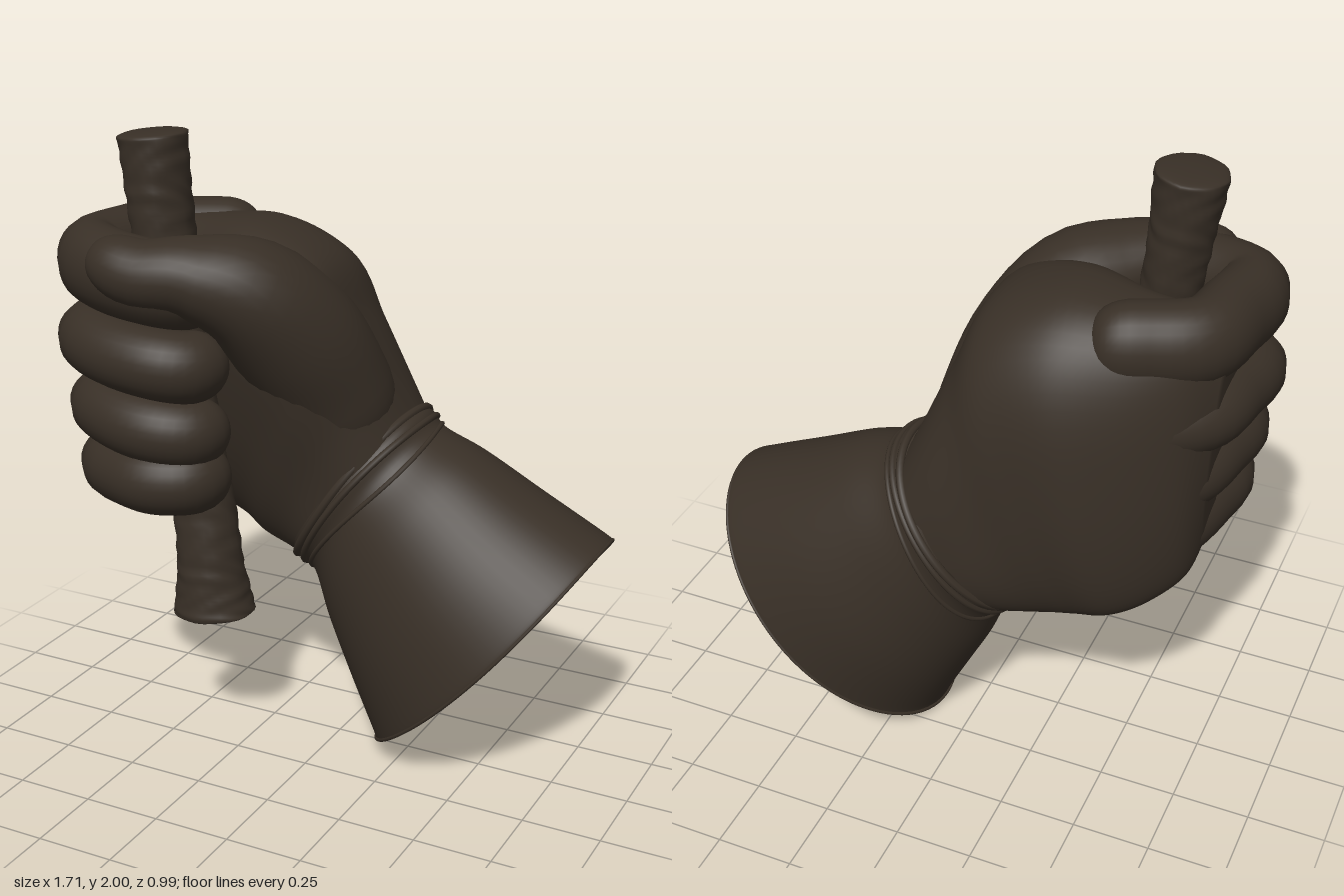
import * as THREE from 'three';

const leather = new THREE.MeshStandardMaterial({ color: 0x382f26, side: THREE.DoubleSide });
leather.name = 'dark brown';

// Smooth interpolation of a list of number rows at u in 0..1
function sample(rows, u) {
  const f = u * (rows.length - 1), i = Math.min(Math.floor(f), rows.length - 2), t = f - i;
  const p = rows[Math.max(i - 1, 0)], a = rows[i], b = rows[i + 1], q = rows[Math.min(i + 2, rows.length - 1)];
  return a.map((v, k) => {
    const m0 = (b[k] - p[k]) / 2, m1 = (q[k] - v) / 2, d = b[k] - v;
    return v + t * (m0 + t * (3 * d - 2 * m0 - m1 + t * (m0 + m1 - 2 * d)));
  });
}

// Skin of rings: point(u, angle) gives each corner
function skin(name, rings, sides, point) {
  const pos = [], index = [];
  for (let i = 0; i <= rings; i++)
    for (let j = 0; j < sides; j++) pos.push(...point(i / rings, (j / sides) * Math.PI * 2).toArray());
  for (let i = 0; i < rings; i++)
    for (let j = 0; j < sides; j++) {
      const a = i * sides + j, b = i * sides + (j + 1) % sides;
      index.push(a, b, a + sides, b, b + sides, a + sides);
    }
  const g = new THREE.BufferGeometry();
  g.setAttribute('position', new THREE.Float32BufferAttribute(pos, 3));
  g.setIndex(index);
  g.computeVertexNormals();
  const mesh = new THREE.Mesh(g, leather);
  mesh.name = name;
  return mesh;
}

// Round-ended limb along rows of [x, y, z, sideRadius, upRadius]
function limb(name, rows, up, { end = 0.12, lump = 0, rings = 40, sides = 28 } = {}) {
  const upV = new THREE.Vector3(...up);
  const at = u => new THREE.Vector3(...sample(rows, u).slice(0, 3));
  return skin(name, rings, sides, (v, a) => {
    const u = (1 - Math.cos(v * Math.PI)) / 2;
    const T = at(Math.min(u + 0.01, 1)).sub(at(Math.max(u - 0.01, 0))).normalize();
    const S = upV.clone().cross(T).normalize(), U = T.clone().cross(S);
    const r = sample(rows, u), e = Math.min(u, 1 - u) / end;
    const round = e < 1 ? Math.sqrt(Math.max(0, 1 - (1 - e) ** 2)) : 1;
    const bump = lump * Math.sin(u * 70 + Math.sin(2 * a) * 2) * Math.sin(4 * a + Math.sin(u * 45) * 2);
    return at(u).addScaledVector(S, (r[3] + bump) * round * Math.cos(a))
      .addScaledVector(U, (r[4] + bump) * round * Math.sin(a));
  });
}

// Cross-section from rows of [upperX, upperY, lowerX, lowerY, backZ, frontZ, frontLean, bow]
function section(rows, u, a, power, grow = 1) {
  const [ax, ay, bx, by, z0, z1, lean, bow] = sample(rows, u);
  const c = Math.cos(a), s = Math.sin(a);
  const t = Math.sign(c) * Math.abs(c) ** power * grow, w = Math.sign(s) * Math.abs(s) ** power * grow;
  return new THREE.Vector3(
    (ax + bx) / 2 + (ax - bx) / 2 * t + 0.73 * bow * w * w,
    (ay + by) / 2 + (ay - by) / 2 * t - 0.68 * bow * w * w,
    (z0 + z1) / 2 + (z1 - z0) / 2 * w + lean * t * (0.5 + 0.5 * w));
}

const HAND = [
  [-0.76, 1.60, -0.73, 0.92, -0.12, 0.05, 0.02, 0],
  [-0.66, 1.67, -0.70, 0.80, -0.22, 0.06, 0.05, 0],
  [-0.48, 1.69, -0.61, 0.72, -0.32, 0.08, 0.10, 0],
  [-0.26, 1.70, -0.51, 0.67, -0.39, 0.14, 0.16, 0],
  [-0.04, 1.61, -0.41, 0.64, -0.40, 0.19, 0.18, 0],
  [0.05, 1.42, -0.32, 0.61, -0.40, 0.18, 0.12, 0],
  [0.13, 1.22, -0.22, 0.59, -0.41, 0.14, 0.05, 0],
  [0.20, 1.06, -0.14, 0.58, -0.41, 0.12, 0, 0],
];
const CUFF = [
  [0.18, 1.11, -0.20, 0.59, -0.42, 0.13, 0, 0],
  [0.22, 1.10, -0.17, 0.56, -0.425, 0.14, 0, 0],
  [0.27, 1.05, -0.12, 0.52, -0.42, 0.13, 0, 0],
  [0.41, 1.00, -0.06, 0.37, -0.44, 0.175, 0, 0.01],
  [0.61, 0.90, 0.03, 0.19, -0.475, 0.235, 0, 0.03],
  [0.82, 0.80, 0.11, 0.03, -0.49, 0.275, 0, 0.045],
  [0.85, 0.78, 0.12, 0.0, -0.49, 0.275, 0, 0.045],
];

// Closed seam or fold that follows a cuff section
function seam(name, u, radius, wobble) {
  const pts = [];
  for (let i = 0; i < 40; i++) {
    const a = (i / 40) * Math.PI * 2;
    pts.push(section(CUFF, u + wobble * Math.sin(2 * a + u * 40), a, 1));
  }
  const path = new THREE.CatmullRomCurve3(pts, true);
  const mesh = new THREE.Mesh(new THREE.TubeGeometry(path, 100, radius, 8, true), leather);
  mesh.name = name;
  return mesh;
}

export function createModel() {
  const model = new THREE.Group();
  model.name = 'gloved fist with stick';

  // Back of the hand and palm, closed at both ends
  model.add(skin('palm', 50, 56, (v, a) => {
    const u = Math.min(Math.max((v - 0.02) / 0.96, 0), 1);
    return section(HAND, u, a, 0.82, v === 0 || v === 1 ? 0 : 1);
  }));

  // Four fingers curled round the stick: [height, half height, inward shift, tip drop, knuckle shift]
  const fingers = [
    ['indexFinger', 1.59, 0.132, 0.015, 0.04, 0.03], ['middleFinger', 1.345, 0.112, 0.002, 0.05, -0.01],
    ['ringFinger', 1.13, 0.11, 0.035, 0.045, -0.02], ['littleFinger', 0.93, 0.112, 0.065, -0.005, -0.02],
  ];
  for (const [name, y, h, dx, drop, dz] of fingers) {
    const rows = [[-0.38, -0.23 + dz, 0], [-0.53, -0.17 + dz, 0], [-0.685 + dx, -0.06, 0], [-0.725 + dx, 0.10, 0],
      [-0.738 + dx, 0.26, 0.1], [-0.61 + dx, 0.335, 0.4], [-0.45, 0.35, 0.7], [-0.365, 0.30, 1], [-0.385, 0.20, 1]]
      .map(([x, z, k]) => [x, y - drop * k, z, 0.113, h]);
    model.add(limb(name, rows, [0, 1, 0], { end: 0.1, rings: 52 }));
  }

  // Thumb with its fleshy base
  model.add(limb('thumb', [
    [0.02, 0.98, -0.10, 0.17, 0.19], [-0.05, 1.19, -0.02, 0.20, 0.20], [-0.115, 1.38, 0.09, 0.205, 0.205],
    [-0.20, 1.525, 0.215, 0.175, 0.18], [-0.34, 1.585, 0.32, 0.125, 0.14], [-0.48, 1.595, 0.385, 0.105, 0.11],
    [-0.635, 1.645, 0.385, 0.09, 0.095],
  ], [0, 0, 1], { end: 0.13 }));

  // Stick with a rough surface and a flared foot
  model.add(limb('stick', [
    [-0.538, 1.99, 0.19, 0.108, 0.11], [-0.52, 1.80, 0.19, 0.10, 0.107], [-0.495, 1.59, 0.19, 0.09, 0.10],
    [-0.46, 1.30, 0.19, 0.09, 0.09], [-0.42, 1.0, 0.19, 0.095, 0.095], [-0.385, 0.78, 0.195, 0.10, 0.10],
    [-0.365, 0.58, 0.20, 0.112, 0.112], [-0.355, 0.437, 0.20, 0.135, 0.125],
  ], [0, 0, 1], { end: 0.02, lump: 0.004, rings: 110 }));

  // Flared open cuff, with folds at the wrist and a hem
  model.add(skin('cuff', 48, 64, (u, a) => section(CUFF, u, a, 1)));
  [0.08, 0.2, 0.32].forEach((u, i) => model.add(seam('wristFold', u, 0.014 - i * 0.003, 0.035)));
  model.add(seam('cuffHem', 0.995, 0.006, 0));

  return model;
}
